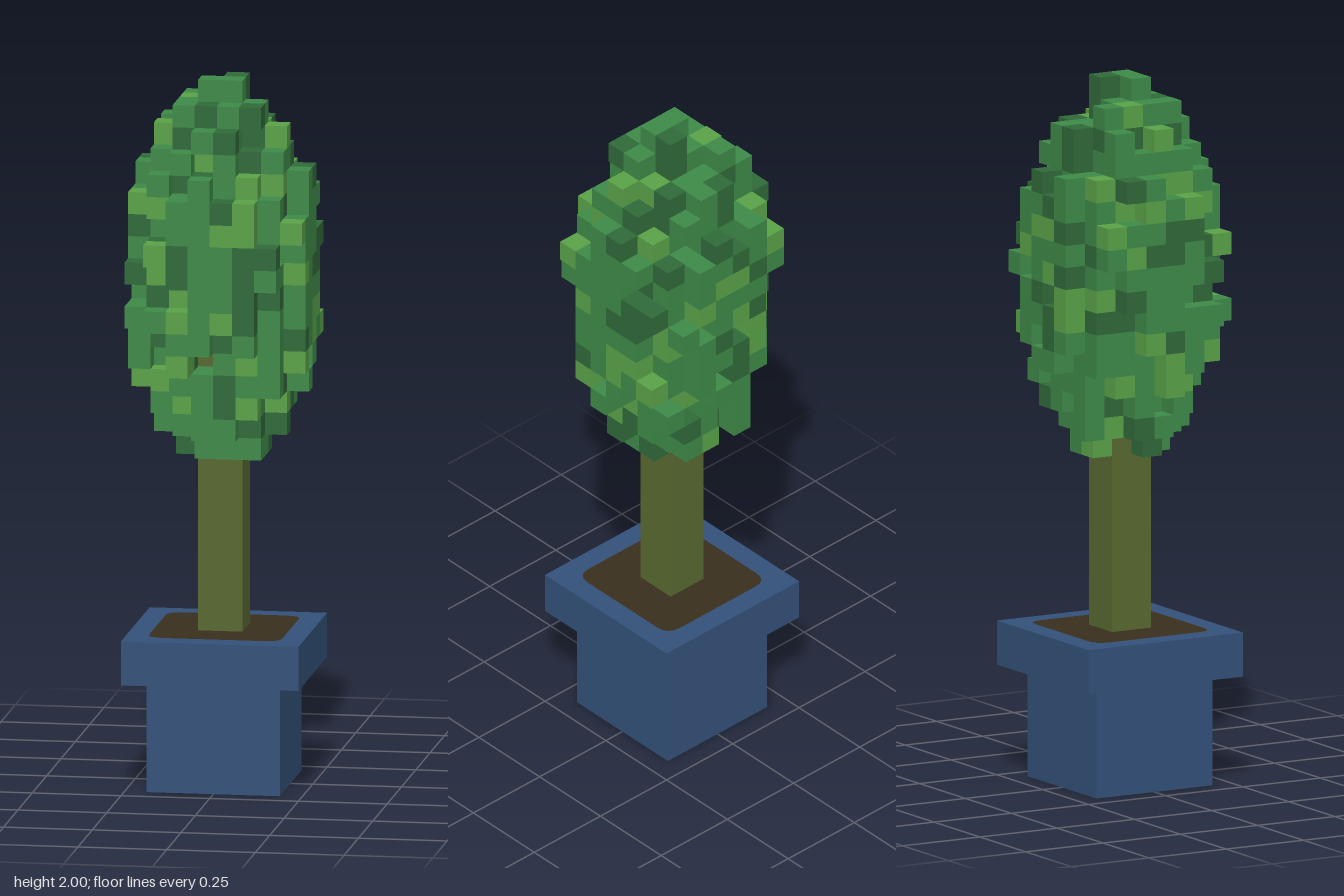
import * as THREE from 'three';
import { mergeGeometries } from 'three/addons/utils/BufferGeometryUtils.js';

const U = 0.0625; // edge of one foliage cube

function seeded(seed) {
  return () => {
    seed = (seed + 0x6d2b79f5) | 0;
    let t = Math.imul(seed ^ (seed >>> 15), 1 | seed);
    t = (t + Math.imul(t ^ (t >>> 7), 61 | t)) ^ t;
    return ((t ^ (t >>> 14)) >>> 0) / 4294967296;
  };
}

const material = (name, color) => {
  const m = new THREE.MeshStandardMaterial({ color });
  m.name = name;
  return m;
};

// Box standing between two heights, centred on the vertical axis
function block(name, half, y0, y1, mat) {
  const mesh = new THREE.Mesh(new THREE.BoxGeometry(half * 2, y1 - y0, half * 2), mat);
  mesh.position.y = (y0 + y1) / 2;
  mesh.name = name;
  return mesh;
}

// Rounded square of earth lying on the rim
function soilPlate(half, r, y, mat) {
  const s = new THREE.Shape();
  s.moveTo(-half + r, -half);
  s.lineTo(half - r, -half).quadraticCurveTo(half, -half, half, -half + r);
  s.lineTo(half, half - r).quadraticCurveTo(half, half, half - r, half);
  s.lineTo(-half + r, half).quadraticCurveTo(-half, half, -half, half - r);
  s.lineTo(-half, -half + r).quadraticCurveTo(-half, -half, -half + r, -half);
  const mesh = new THREE.Mesh(new THREE.ShapeGeometry(s, 4).rotateX(-Math.PI / 2), mat);
  mesh.position.y = y;
  mesh.name = 'soil';
  return mesh;
}

// Six cube faces: outward step and matching quad
const faces = [
  [[0, 0, 1], 0, 0], [[0, 0, -1], 0, Math.PI],
  [[1, 0, 0], 0, Math.PI / 2], [[-1, 0, 0], 0, -Math.PI / 2],
  [[0, 1, 0], -Math.PI / 2, 0], [[0, -1, 0], Math.PI / 2, 0],
].map(([step, rx, ry]) => ({
  step,
  quad: new THREE.PlaneGeometry(U, U).rotateX(rx).rotateY(ry)
    .translate(...step.map((s) => (s * U) / 2)),
}));

// Colours of the topmost cube in each column, back row first
const crown = [
  '.mmddmm.', 'llmdmmdd', 'dmmmmdlm', 'mmlmdldd',
  'mlmmmmlm', 'lmmdmdmm', 'dmmmdlml', '.lmmdld.',
];

// Ragged egg of cubes: each layer has a reach in cells and a round limit
function buildFoliage(mats) {
  const rand = seeded(41);
  const firstRow = 15;
  const trunkTopRow = 19;
  const topRow = 31;
  const reach = [2, 3, 3, 4, 4, 4, 4, 4, 4, 4, 4, 4, 4, 3, 3, 2, 1];
  const radius = [2.85, 3.2, 3.5, 3.9, 4.15, 4.5, 4.8, 4.85, 4.85, 4.85, 4.75, 4.45, 4, 3.6, 3.1, 2.4, 1];
  const cells = new Map();
  const key = (x, y, z) => `${x},${y},${z}`;

  reach.forEach((w, i) => {
    const y = firstRow + i;
    const span = Math.min(w, 2);
    // one cube on each side always reaches the full width of the layer
    const tips = [0, 1, 2, 3].map(() => Math.floor(rand() * span * 2) - span + 0.5);
    for (let x = 0.5 - w; x < w; x++) {
      for (let z = 0.5 - w; z < w; z++) {
        const r = Math.hypot(x, z);
        const e = w - 0.5;
        const tip = (x === e && z === tips[0]) || (x === -e && z === tips[1]) ||
          (z === e && x === tips[2]) || (z === -e && x === tips[3]);
        const core = y <= trunkTopRow && Math.abs(x) < 1 && Math.abs(z) < 1;
        // two small gaps open a view of the trunk, and the tip lacks one back cube
        const gap = (y === trunkTopRow && ((x === -0.5 && z > 1) || (z === 0.5 && x > 1))) ||
          (y === topRow && x < 0 && z < 0);
        // corners stay empty; the lowest wide layer is narrower front to back
        const outside = r > 4.5 || (y === 18 && Math.abs(z) > 3);
        const keep = !outside && !gap && (r < radius[i] - 1.4 * rand() || tip || w === 1);
        const c = rand();
        if (core) cells.set(key(x, y, z), -1);
        else if (keep) cells.set(key(x, y, z), c < 0.58 ? 0 : c < 0.8 ? 1 : 2);
      }
    }
  });

  crown.forEach((line, row) => [...line].forEach((letter, col) => {
    for (let y = topRow; y >= firstRow; y--) {
      const k = key(col - 3.5, y, row - 3.5);
      if (!cells.has(k)) continue;
      cells.set(k, 'mdl'.indexOf(letter));
      break;
    }
  }));

  // Keep only the outside faces, sorted by colour
  const parts = mats.map(() => []);
  for (const [k, colour] of cells) {
    if (colour < 0) continue;
    const [x, y, z] = k.split(',').map(Number);
    for (const { step, quad } of faces) {
      if (cells.has(key(x + step[0], y + step[1], z + step[2]))) continue;
      parts[colour].push(quad.clone().translate(x * U, (y + 0.5) * U, z * U));
    }
  }
  const group = new THREE.Group();
  group.name = 'foliage';
  const names = ['midLeaves', 'darkLeaves', 'lightLeaves'];
  parts.forEach((list, i) => {
    const mesh = new THREE.Mesh(mergeGeometries(list), mats[i]);
    mesh.name = names[i];
    group.add(mesh);
  });
  return group;
}

export function createModel() {
  const blue = material('blue pot', 0x335179);
  const earth = material('dark soil', 0x392f1d);
  const bark = material('olive bark', 0x586930);
  const leaves = [
    material('mid green', 0x3e8a48),
    material('dark green', 0x306a39),
    material('light green', 0x5aa248),
  ];

  const model = new THREE.Group();
  model.name = 'pottedTree';
  model.add(
    block('potBody', 0.1875, 0, 0.3125, blue),
    block('potRim', 0.25, 0.3125, 0.4375, blue),
    soilPlate(0.1875, 0.045, 0.4385, earth),
    block('trunk', 0.0625, 0.4375, 1.25, bark),
    buildFoliage(leaves),
  );
  return model;
}
